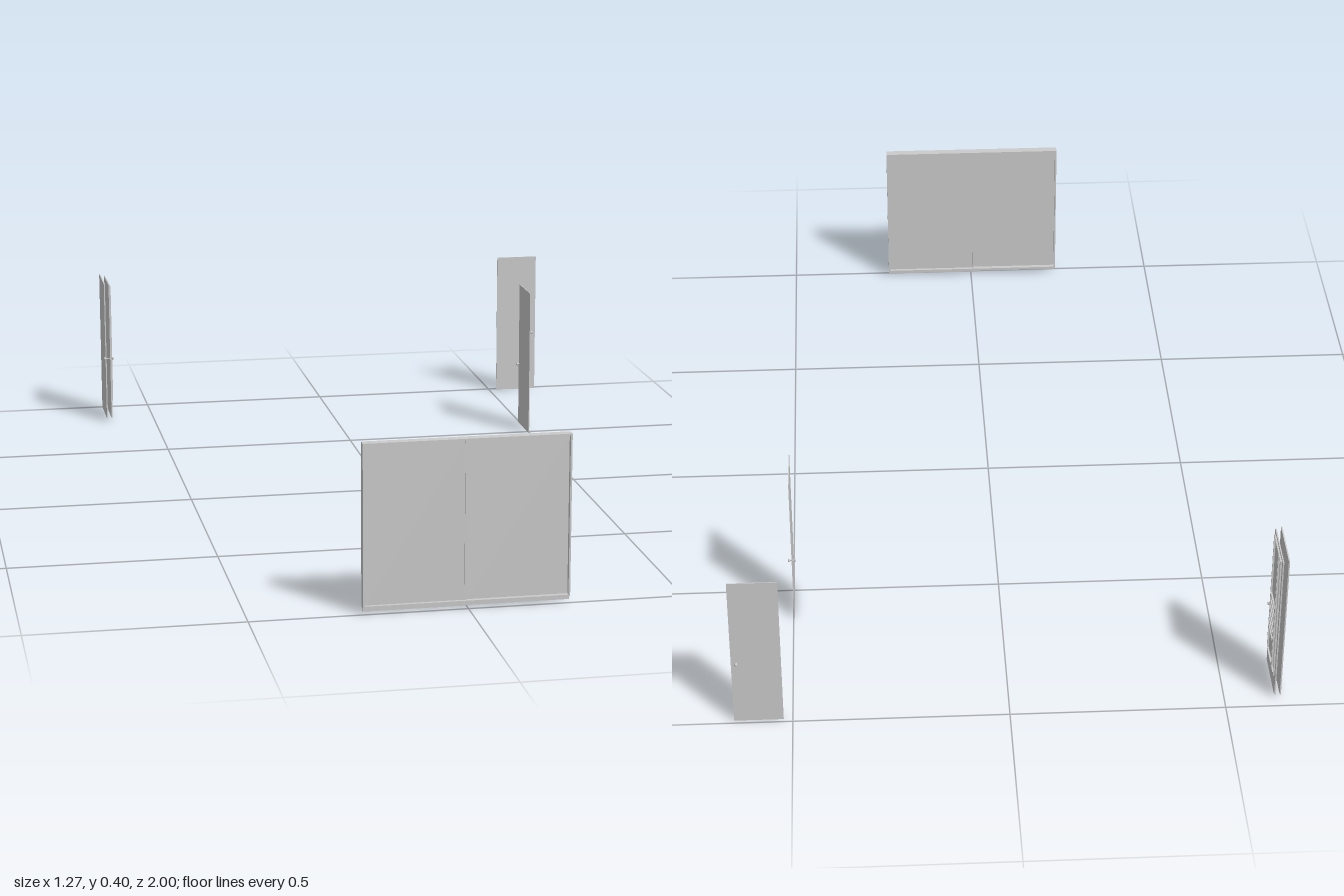
import * as THREE from 'three';

const material = new THREE.MeshStandardMaterial({ color: 0xcccccc, flatShading: true });

// Box given by its min and max corners
function box(parent, name, [x0, y0, z0], [x1, y1, z1]) {
  const mesh = new THREE.Mesh(new THREE.BoxGeometry(x1 - x0, y1 - y0, z1 - z0), material);
  mesh.position.set((x0 + x1) / 2, (y0 + y1) / 2, (z0 + z1) / 2);
  mesh.name = name;
  parent.add(mesh);
  return mesh;
}

// Pair of round knobs on a spindle along local z
function knobs(parent, x, y, z, reach) {
  const group = new THREE.Group();
  group.name = 'doorKnobs';
  const spindle = new THREE.Mesh(new THREE.CylinderGeometry(0.0015, 0.0015, 2 * reach - 0.004, 10), material);
  spindle.rotation.x = Math.PI / 2;
  spindle.name = 'spindle';
  group.add(spindle);
  for (const side of [-1, 1]) {
    const knob = new THREE.Mesh(new THREE.SphereGeometry(0.004, 12, 8), material);
    knob.scale.z = 0.75;
    knob.position.z = side * (reach - 0.003);
    knob.name = 'knob';
    group.add(knob);
  }
  group.position.set(x, y, z);
  parent.add(group);
  return group;
}

// Thin flat door facing z, centred on its own origin
function plainDoor(name, width, knobX) {
  const door = new THREE.Group();
  door.name = name;
  box(door, 'doorLeaf', [-width / 2, 0.002, -0.001], [width / 2, 0.394, 0.001]);
  knobs(door, knobX, 0.17, 0, 0.01);
  return door;
}

// Wide two-pane sliding door in a shallow frame
function slidingDoor() {
  const door = new THREE.Group();
  door.name = 'slidingDoor';
  const [x0, x1, z0, z1] = [-0.241, 0.235, 0.979, 1];
  box(door, 'frameTop', [x0, 0.393, z0], [x1, 0.397, z1]);
  box(door, 'frameBottom', [x0, 0.017, z0], [x1, 0.021, z1]);
  box(door, 'frameSide', [x0, 0.021, z0], [x0 + 0.004, 0.393, z1]);
  box(door, 'frameSide', [x1 - 0.004, 0.021, z0], [x1, 0.393, z1]);
  box(door, 'pane', [x0, 0.007, 0.99], [-0.004, 0.393, 0.992]);
  box(door, 'pane', [-0.008, 0.007, 0.987], [x1, 0.393, 0.989]);
  box(door, 'meetingStile', [-0.008, 0.021, 0.984], [-0.004, 0.393, 0.995]);
  return door;
}

// Door of two spaced sheets, with raised trim and slats on its +x face
function panelDoor() {
  const door = new THREE.Group();
  door.name = 'panelDoor';
  box(door, 'backSheet', [-0.632, 0.01, -0.969], [-0.629, 0.394, -0.836]);
  box(door, 'frontSheet', [-0.619, 0.01, -0.969], [-0.616, 0.39, -0.836]);
  const [t0, t1, w] = [-0.617, -0.612, 0.003];
  for (const [z0, z1] of [[-0.957, -0.924], [-0.921, -0.85]]) {
    for (const y of [0.057, 0.38]) box(door, 'trimRail', [t0, y, z0], [t1, y + w, z1]);
    for (const z of [z0, z1 - w]) box(door, 'trimStile', [t0, 0.06, z], [t1, 0.38, z + w]);
  }
  for (let i = 0; i < 6; i++) {
    const y = 0.12 + i * 0.019;
    box(door, 'slat', [t0, y, -0.918], [t1, y + 0.005, -0.853]);
  }
  knobs(door, -0.622, 0.18, -0.843, 0.014).rotation.y = Math.PI / 2;
  return door;
}

export function createModel() {
  const model = new THREE.Group();
  model.name = 'doorSet';
  model.add(slidingDoor(), panelDoor());

  const rearDoor = plainDoor('rearDoor', 0.114, 0.045);
  rearDoor.position.set(0.578, 0, -0.99);
  model.add(rearDoor);

  const sideDoor = plainDoor('sideDoor', 0.124, 0.055);
  sideDoor.rotation.y = Math.PI / 2;
  sideDoor.position.set(0.498, 0, -0.549);
  model.add(sideDoor);
  return model;
}
